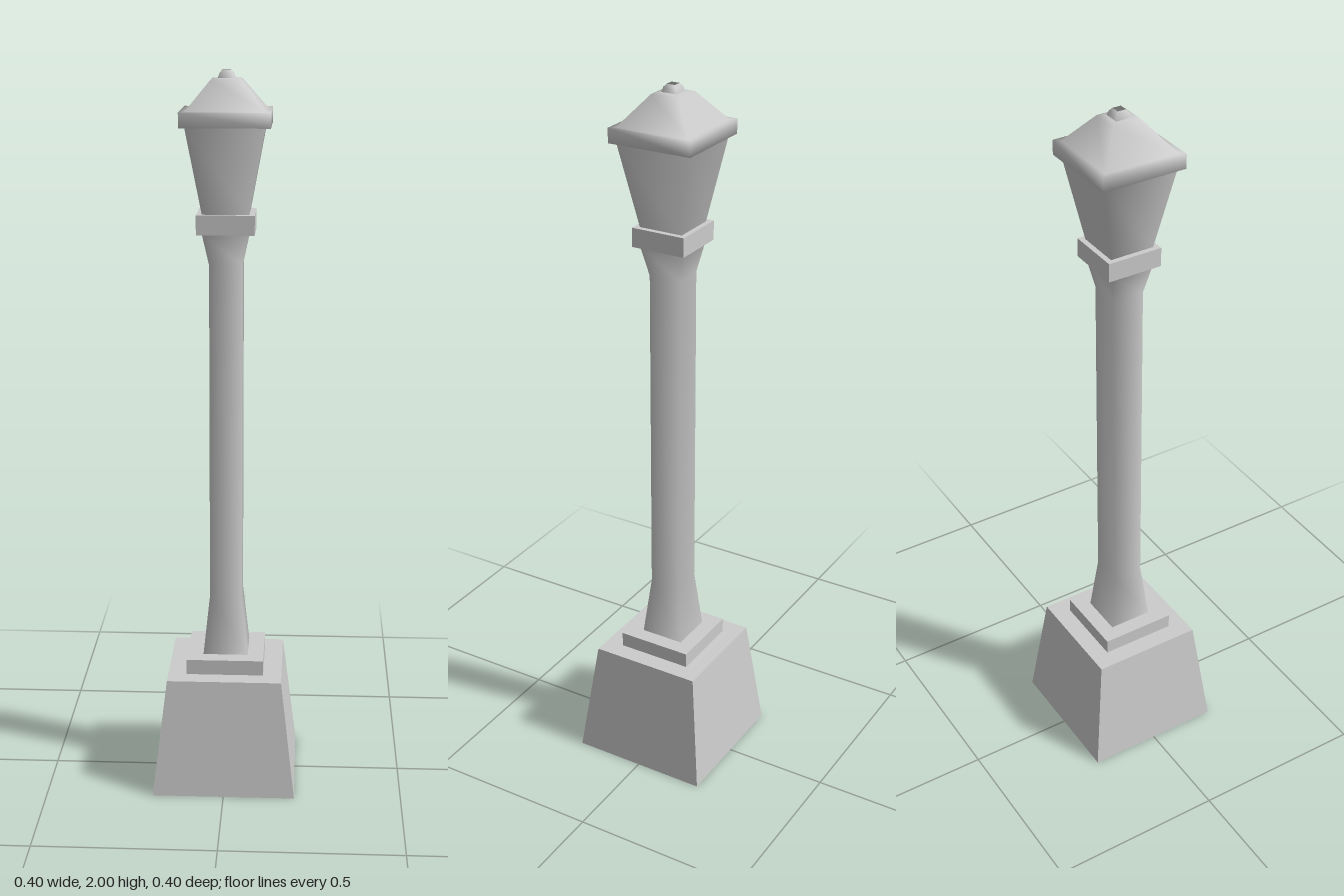
import * as THREE from 'three';

// Square-section loft: profile is a list of [halfWidth, y] from bottom to top
function squareLoft(name, profile, flat) {
  const points = profile.map(([half, y]) => new THREE.Vector2(half * Math.SQRT2, y));
  const geometry = new THREE.LatheGeometry(points, 4, Math.PI / 4);
  const material = new THREE.MeshStandardMaterial({
    color: 0xcccccc, flatShading: flat, side: THREE.DoubleSide,
  });
  const mesh = new THREE.Mesh(geometry, material);
  mesh.name = name;
  return mesh;
}

export function createModel() {
  const lamp = new THREE.Group();
  lamp.name = 'streetLamp';

  // Tapered hollow base, open underneath
  lamp.add(squareLoft('base', [[0.2, 0], [0.16, 0.333], [0.108, 0.333]], true));

  // Low step between base and post
  lamp.add(squareLoft('plinth', [[0.108, 0.333], [0.108, 0.376], [0.063, 0.376]], true));

  // Post flaring at both ends
  lamp.add(squareLoft('post', [[0.063, 0.376], [0.045, 0.546], [0.045, 1.49], [0.063, 1.575]], false));

  // Band under the lantern
  lamp.add(squareLoft('collar', [[0.063, 1.575], [0.078, 1.575], [0.078, 1.628], [0.063, 1.628]], true));

  // Lantern body widening upward
  lamp.add(squareLoft('lantern', [[0.063, 1.628], [0.105, 1.858]], false));

  // Eaves and sloping roof
  lamp.add(squareLoft('roof', [
    [0.105, 1.858], [0.12, 1.858], [0.12, 1.898], [0.105, 1.898], [0.04, 1.977], [0.022, 1.98],
  ], false));

  // Small open-topped finial
  lamp.add(squareLoft('finial', [[0.022, 1.98], [0.018, 1.993], [0.012, 2]], false));

  return lamp;
}
